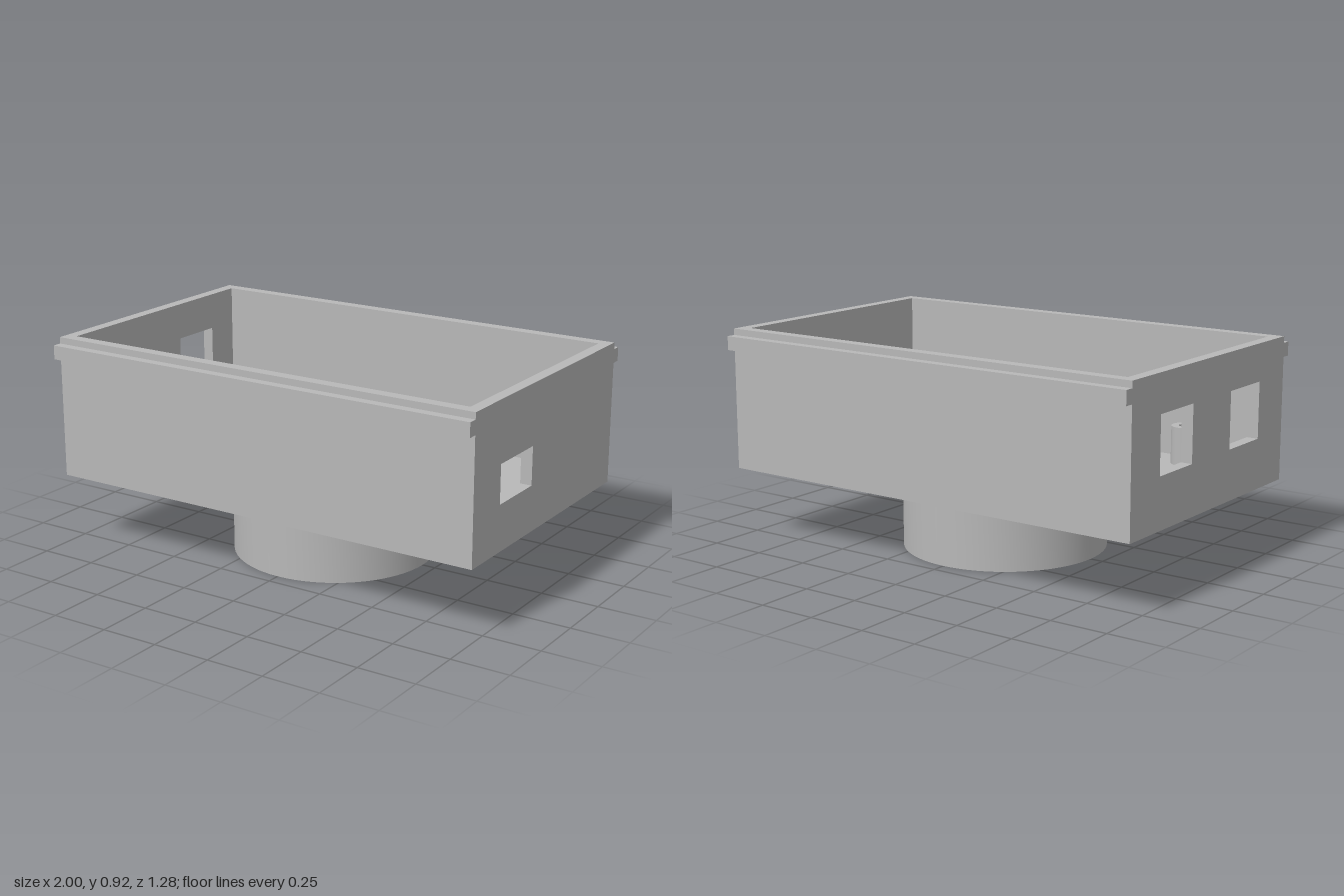
import * as THREE from 'three';
import { toCreasedNormals } from 'three/addons/utils/BufferGeometryUtils.js';

const grey = new THREE.MeshStandardMaterial({ color: 0xb8b8b8 });
grey.name = 'grey plastic';

const BASE = 0.305, TOP = 0.92, WALL = 0.05, FLOOR = BASE + WALL;
const HX = 1, HZ = 0.6;

function add(parent, name, geometry, x = 0, y = 0, z = 0) {
  const mesh = new THREE.Mesh(geometry, grey);
  mesh.name = name;
  mesh.position.set(x, y, z);
  parent.add(mesh);
  return mesh;
}

// Rectangle path from corner to corner
function rect(path, x0, y0, x1, y1) {
  path.moveTo(x0, y0);
  path.lineTo(x1, y0);
  path.lineTo(x1, y1);
  path.lineTo(x0, y1);
  path.closePath();
  return path;
}

// Smooth turned part with sharp edges kept
function turned(points, segments) {
  const g = new THREE.LatheGeometry(points.map(([r, y]) => new THREE.Vector2(r, y)), segments);
  return toCreasedNormals(g, 0.6);
}

// End wall with windows given as [z0, y0, z1, y1]
function endWall(windows) {
  const shape = rect(new THREE.Shape(), -HZ, BASE, HZ, TOP);
  for (const [z0, y0, z1, y1] of windows) {
    shape.holes.push(rect(new THREE.Path(), -z0, y0, -z1, y1));
  }
  return new THREE.ExtrudeGeometry(shape, { depth: WALL, bevelEnabled: false }).rotateY(Math.PI / 2);
}

// Helical thread: a zigzag profile lifted by one pitch per turn
function threadGeometry(bore, crest, y0, y1, pitch) {
  const pts = [];
  for (let y = y1 + pitch; y > y0 - 2 * pitch; y -= pitch) {
    pts.push(new THREE.Vector2(bore, y), new THREE.Vector2(bore, y - pitch * 0.25));
    pts.push(new THREE.Vector2(crest, y - pitch * 0.55), new THREE.Vector2(crest, y - pitch * 0.7));
  }
  const g = new THREE.LatheGeometry(pts, 72);
  const pos = g.attributes.position, uv = g.attributes.uv;
  for (let i = 0; i < pos.count; i++) {
    const y = pos.getY(i) + pitch * uv.getX(i);
    pos.setY(i, THREE.MathUtils.clamp(y, y0, y1));
  }
  return toCreasedNormals(g, 0.5);
}

export function createModel() {
  const model = new THREE.Group();
  model.name = 'enclosure';

  // Floor with round opening
  const floor = rect(new THREE.Shape(), -HX + WALL, -HZ + WALL, HX - WALL, HZ - WALL);
  floor.holes.push(new THREE.Path().absarc(0, 0, 0.302, 0, Math.PI * 2, true));
  const floorGeo = new THREE.ExtrudeGeometry(floor, { depth: WALL, bevelEnabled: false, curveSegments: 64 });
  add(model, 'floor', toCreasedNormals(floorGeo.rotateX(-Math.PI / 2), 0.6), 0, BASE, 0);

  // Long walls and their outer rails
  for (const [side, s] of [['front', 1], ['back', -1]]) {
    add(model, side + 'Wall', new THREE.BoxGeometry(2 * (HX - WALL), TOP - BASE, WALL),
      0, (TOP + BASE) / 2, s * (HZ - WALL / 2));
    add(model, side + 'Rail', new THREE.BoxGeometry(2 * HX, 0.06, 0.04), 0, 0.862, s * (HZ + 0.02));
  }

  // End walls with cut-outs
  add(model, 'leftWall', endWall([[0.127, 0.5, 0.39, 0.663]]), HX - WALL, 0, 0);
  add(model, 'rightWall', endWall([[0.15, 0.52, 0.392, 0.76], [-0.392, 0.52, -0.15, 0.76]]), -HX, 0, 0);

  // Hollow screw posts
  const post = turned([[0.028, 0.52], [0.028, FLOOR], [0.06, FLOOR], [0.06, 0.52], [0.028, 0.52]], 32);
  for (const x of [-0.63, 0.85]) {
    for (const z of [-0.44, 0.44]) add(model, 'screwPost', post, x, 0, z);
  }

  // Round collar below the floor, threaded inside
  add(model, 'collar', turned(
    [[0.355, BASE], [0.355, 0], [0.44, 0], [0.44, BASE]], 72));
  add(model, 'collarThread', threadGeometry(0.354, 0.328, 0.02, 0.285, 0.045)).geometry.computeBoundingBox();

  return model;
}
